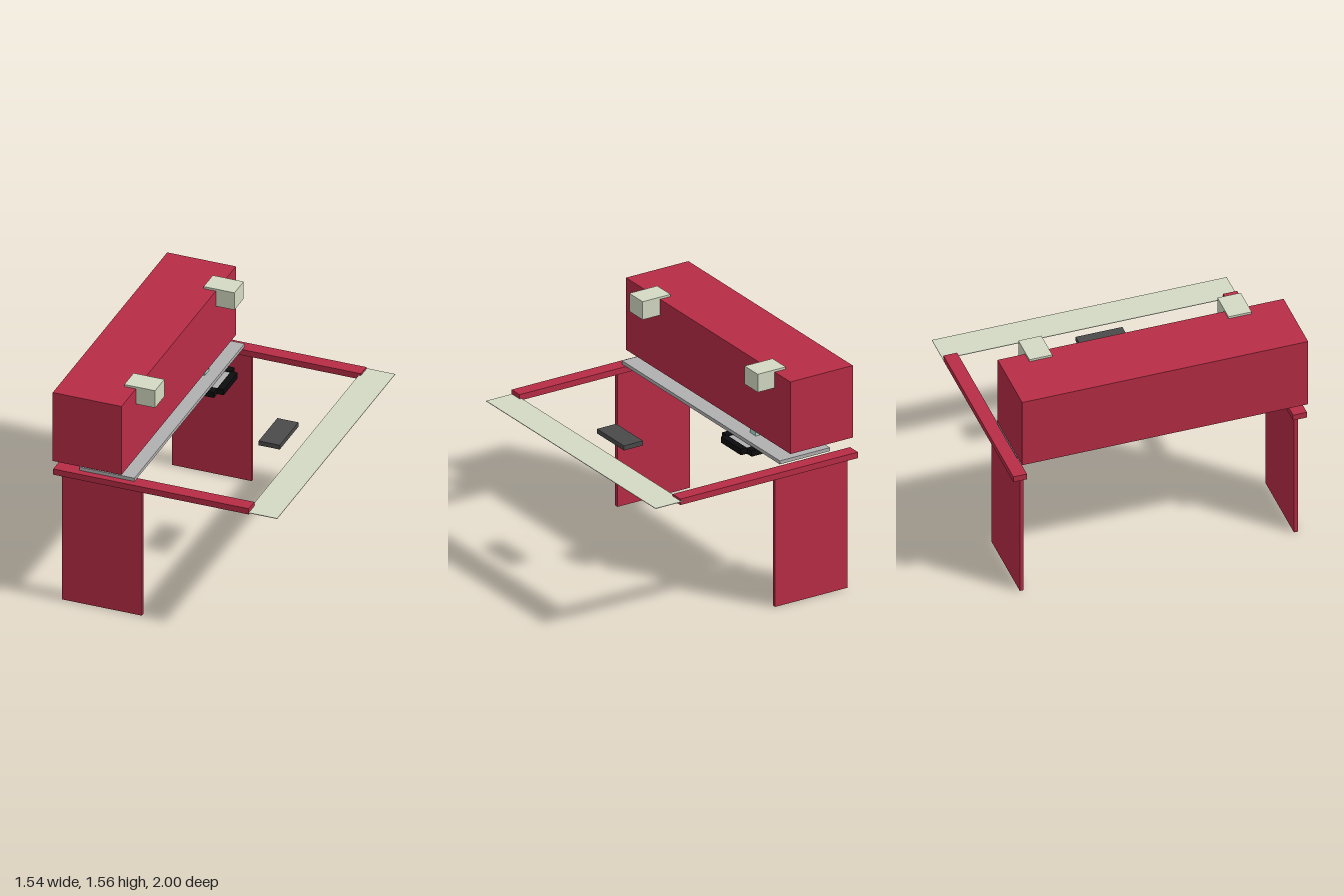
import * as THREE from 'three';

const mat = (color) => new THREE.MeshStandardMaterial({ color });

export function createModel() {
  const model = new THREE.Group();
  const red = mat(0xb82c46), pale = mat(0xd3dac3), grey = mat(0xb0b0b0);
  const dark = mat(0x4a4a4a), black = mat(0x0c0c0e), teal = mat(0xa8dccf);

  // Box given by its [min, max] extents along each axis
  const box = (name, material, [x0, x1], [y0, y1], [z0, z1], parent = model) => {
    const mesh = new THREE.Mesh(new THREE.BoxGeometry(x1 - x0, y1 - y0, z1 - z0), material);
    mesh.position.set((x0 + x1) / 2, (y0 + y1) / 2, (z0 + z1) / 2);
    mesh.name = name;
    parent.add(mesh);
    return mesh;
  };

  // Side panels that carry the rails
  box('frontLegPanel', red, [-0.73, -0.18], [0, 0.935], [0.918, 0.945]);
  box('backLegPanel', red, [-0.73, -0.18], [0, 0.92], [-0.932, -0.908]);

  // Rails along x, the back one slightly lower
  box('frontRail', red, [-0.77, 0.575], [0.933, 0.975], [0.898, 0.992]);
  box('backRail', red, [-0.77, 0.575], [0.917, 0.959], [-0.99, -0.898]);

  // Thin front strip joining the rail ends
  box('frontStrip', pale, [0.56, 0.77], [0.941, 0.945], [-1, 0.99]);

  // Long cabinet above the shelf
  box('shelf', grey, [-0.61, -0.23], [0.975, 0.999], [-0.91, 0.945]);
  box('cabinet', red, [-0.77, -0.297], [1.038, 1.541], [-0.93, 1]);

  // Hooked blocks hanging over the cabinet's front edge
  for (const [z0, z1, shift] of [[0.6, 0.757, 0], [-0.745, -0.59, -0.004]]) {
    const hook = new THREE.Group();
    hook.name = 'hookBlock';
    box('hookTop', pale, [-0.377 + shift, -0.165 + shift], [1.541, 1.556], [z0, z1], hook);
    box('hookBody', pale, [-0.297, -0.165 + shift], [1.43, 1.541], [z0, z1], hook);
    model.add(hook);
  }

  // Small tray with an inset underside
  box('tray', dark, [0.31, 0.455], [0.948, 0.98], [-0.14, 0.175]);
  box('trayInset', teal, [0.325, 0.44], [0.945, 0.949], [-0.12, 0.155]);

  // Slotted handle under the shelf
  const handle = new THREE.Group();
  handle.name = 'handle';
  handle.position.set(-0.34, 0, 0.01);
  for (const s of [-1, 1]) {
    box('handleSide', dark, [s * 0.025 - 0.009, s * 0.025 + 0.009], [0.962, 0.976], [-0.11, 0.11], handle);
    box('handleEnd', dark, [-0.016, 0.016], [0.962, 0.976], [s * 0.09 - 0.02, s * 0.09 + 0.02], handle);
  }
  model.add(handle);

  // Stepped black frame around a post, with panel and spokes
  const holder = new THREE.Group();
  holder.name = 'postHolder';
  holder.position.set(-0.34, 0, -0.4675);
  for (const s of [-1, 1]) {
    box('frameSide', black, [s * 0.1725 - 0.0225, s * 0.1725 + 0.0225], [0.936, 0.978], [-0.1175, 0.1175], holder);
    box('frameEnd', black, [-0.15, 0.15], [0.936, 0.976], [s * 0.1425 - 0.03, s * 0.1425 + 0.03], holder);
    box('spokeX', black, [s * 0.095 - 0.055, s * 0.095 + 0.055], [0.945, 0.962], [-0.025, 0.025], holder);
    box('spokeZ', black, [-0.03, 0.03], [0.945, 0.962], [s * 0.075 - 0.04, s * 0.075 + 0.04], holder);
  }
  box('holderPanel', grey, [-0.15, 0.15], [0.962, 0.97], [-0.1125, 0.1125], holder);
  box('post', teal, [-0.03, 0.03], [0.932, 1.04], [-0.035, 0.03], holder);
  model.add(holder);

  return model;
}
